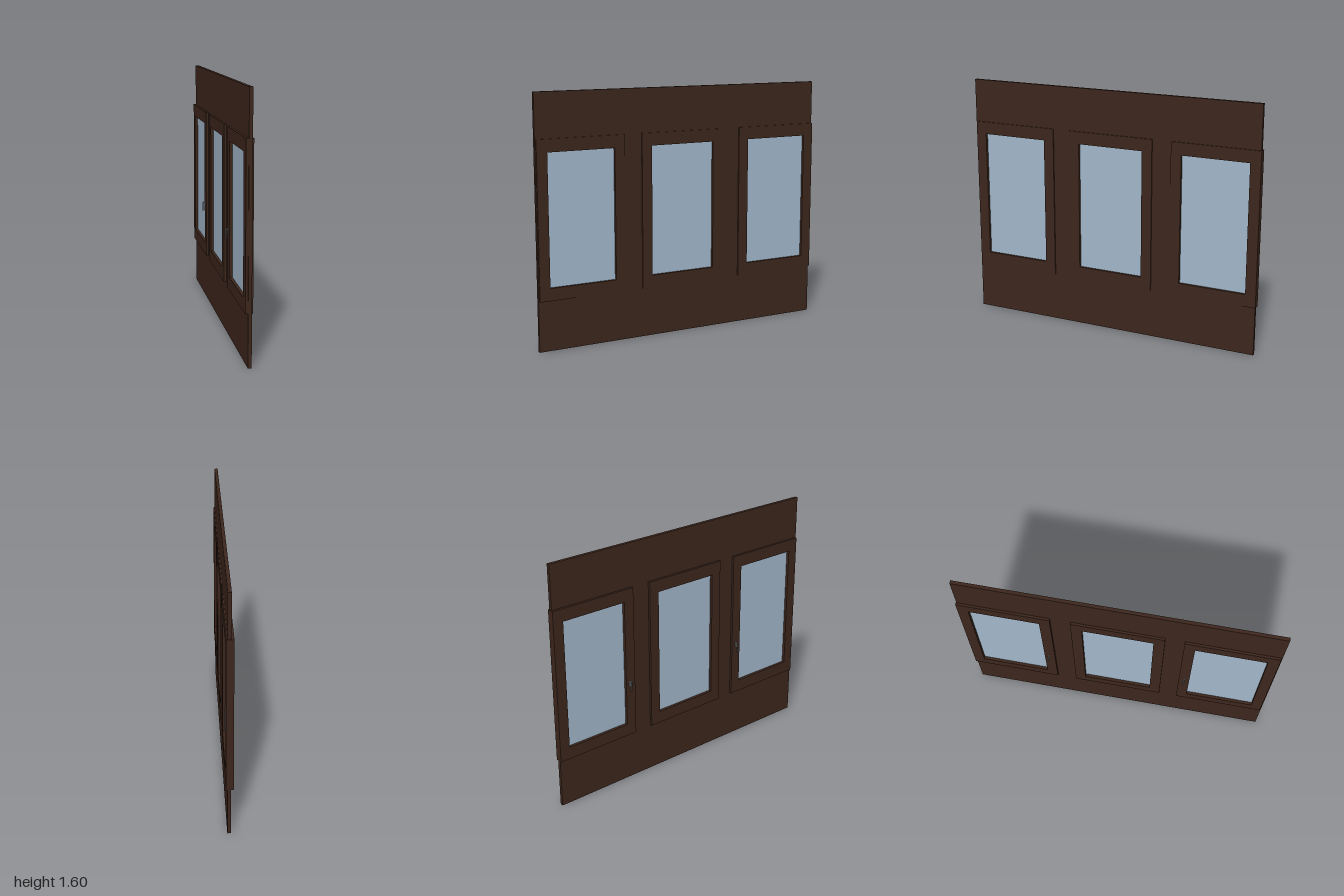
import * as THREE from 'three';

const wood = new THREE.MeshStandardMaterial({ color: 0x3c261c });
const glass = new THREE.MeshStandardMaterial({ color: 0xa2b7cb });
const metal = new THREE.MeshStandardMaterial({ color: 0x777777 });

// Rectangle outline in the (z, y) plane
const corners = (z0, z1, y0, y1) => [[z0, y0], [z1, y0], [z1, y1], [z0, y1]].map(([z, y]) => new THREE.Vector2(z, y));

// Slab lying between x0 and x1, with optional rectangular holes
function slab(name, material, rect, x0, x1, holes = []) {
  const shape = new THREE.Shape(corners(...rect));
  holes.forEach((h) => shape.holes.push(new THREE.Path(corners(...h))));
  const geo = new THREE.ExtrudeGeometry(shape, { depth: x1 - x0, bevelEnabled: false });
  geo.rotateY(-Math.PI / 2).translate(x1, 0, 0);
  const mesh = new THREE.Mesh(geo, material);
  mesh.name = name;
  return mesh;
}

// Lever handle: rosette plate, neck and a lever hanging down
function makeHandle(z) {
  const handle = new THREE.Group();
  handle.name = 'handle';
  const plate = new THREE.Mesh(new THREE.BoxGeometry(0.004, 0.036, 0.016), metal);
  plate.name = 'handlePlate';
  plate.position.set(-0.017, 0.682, z);
  const path = new THREE.CurvePath();
  const p = [[-0.015, 0.692], [-0.028, 0.692], [-0.032, 0.687], [-0.032, 0.637]].map(([x, y]) => new THREE.Vector3(x, y, z));
  for (let i = 0; i < 3; i++) path.add(new THREE.LineCurve3(p[i], p[i + 1]));
  const lever = new THREE.Mesh(new THREE.TubeGeometry(path, 16, 0.0045, 8), metal);
  lever.name = 'handleLever';
  const tip = new THREE.Mesh(new THREE.SphereGeometry(0.0045, 8, 6), metal);
  tip.name = 'handleTip';
  tip.position.copy(p[3]);
  handle.add(plate, lever, tip);
  return handle;
}

export function createModel() {
  const model = new THREE.Group();
  model.name = 'windowWall';
  const centres = [0.702, 0.002, -0.708];
  const opening = (c) => [c - 0.222, c + 0.222, 0.4, 1.237];

  // Wall panel with three openings
  model.add(slab('wallPanel', wood, [-0.995, 1, 0, 1.6], 0, 0.022, centres.map(opening)));

  // Frames standing proud of both wall faces, each with a recessed pane
  centres.forEach((c) => {
    const unit = new THREE.Group();
    unit.name = 'window';
    unit.add(slab('windowFrame', wood, [c - 0.291, c + 0.291, 0.32, 1.318], -0.015, 0.03, [opening(c)]));
    unit.add(slab('windowPane', glass, opening(c), 0.004, 0.012));
    model.add(unit);
  });

  // Handles on the inner edges of the two outer windows
  model.add(makeHandle(0.446), makeHandle(-0.459));
  return model;
}
